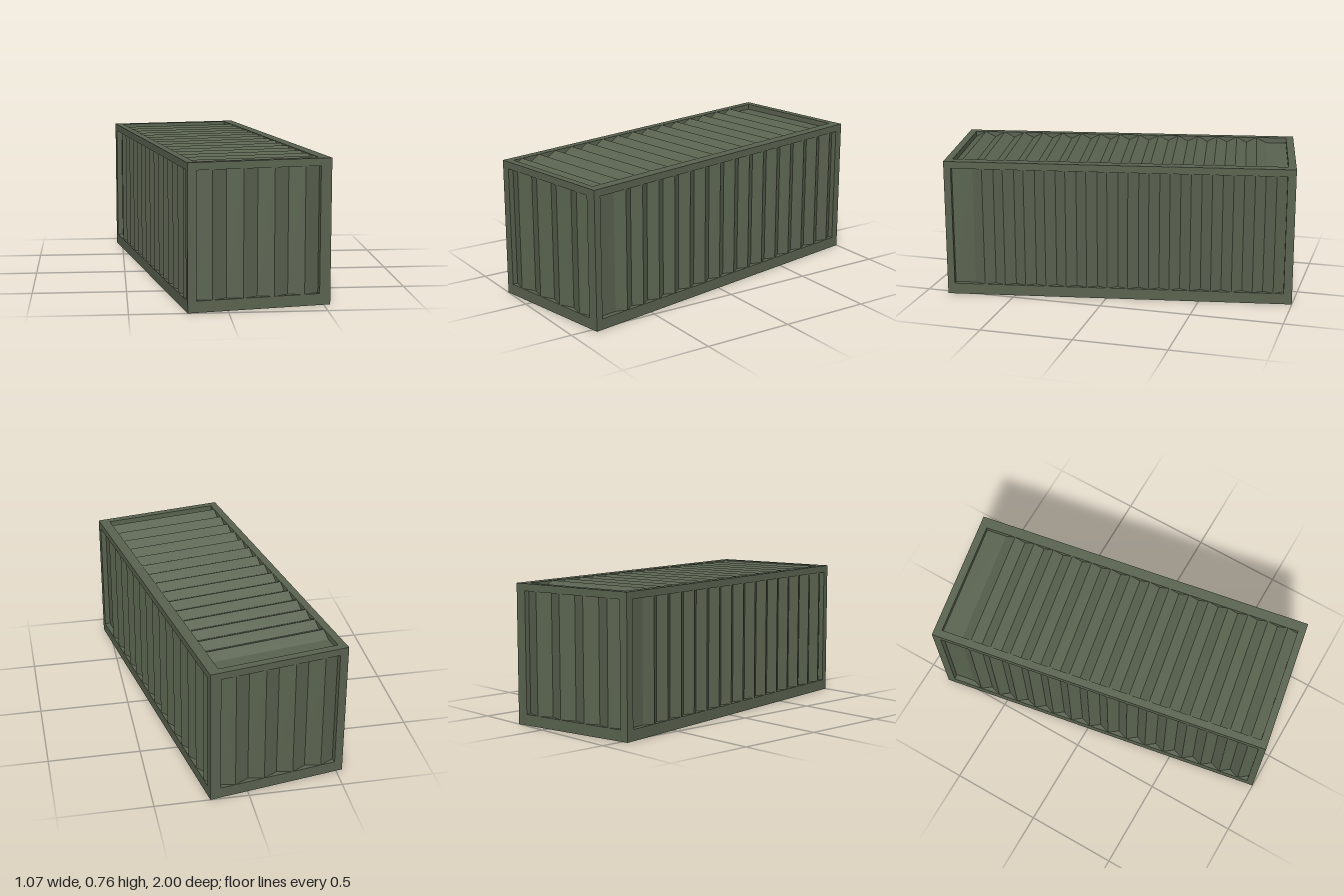
import * as THREE from 'three';

const L = 1.898, W = 0.751, H = 0.757; // length, width, height
const DEPTH = 0.03;                    // panel recess and rib height
const paint = new THREE.MeshStandardMaterial({ color: 0x59624f, flatShading: true, side: THREE.DoubleSide });

// Flat-shaded mesh from quads given as corner arrays, counter-clockwise from outside
function quadMesh(name, quads) {
  const pos = [];
  for (const [a, b, c, d] of quads) pos.push(...a, ...b, ...c, ...a, ...c, ...d);
  const geo = new THREE.BufferGeometry();
  geo.setAttribute('position', new THREE.Float32BufferAttribute(pos, 3));
  geo.computeVertexNormals();
  const mesh = new THREE.Mesh(geo, paint);
  mesh.name = name;
  return mesh;
}

const rect = (l, r, b, t, z) => [[l, b, z], [r, b, z], [r, t, z], [l, t, z]];

// Border of a wall: flat rails around an opening, plus the inward walls of the recess
function frame(name, w, h, o) {
  const outer = rect(-w / 2, w / 2, -h / 2, h / 2, 0);
  const inner = rect(o.l, o.r, o.b, o.t, 0);
  const deep = rect(o.l, o.r, o.b, o.t, -DEPTH);
  const quads = [];
  for (let i = 0; i < 4; i++) {
    const j = (i + 1) % 4;
    quads.push([outer[i], outer[j], inner[j], inner[i]], [inner[i], inner[j], deep[j], deep[i]]);
  }
  return quadMesh(name, quads);
}

// Folded sheet: an optional flat start, then triangular ribs across the opening
function panel(name, o, ribs, flatStart) {
  const step = (o.r - o.l) / (2 * ribs + (flatStart ? 2 : 0) || 1);
  const profile = [[o.l, -DEPTH]];
  let u = o.l;
  if (flatStart) profile.push([u += 2 * step, -DEPTH]);
  for (let i = 0; i < ribs; i++) profile.push([u += step, 0], [u += step, -DEPTH]);
  if (!ribs) profile.push([o.r, -DEPTH]);
  const quads = [];
  for (let i = 0; i + 1 < profile.length; i++) {
    const [u0, z0] = profile[i], [u1, z1] = profile[i + 1];
    quads.push([[u0, o.b, z0], [u1, o.b, z1], [u1, o.t, z1], [u0, o.t, z0]]);
  }
  return quadMesh(name, quads);
}

// One wall of the box; margins are [left, right, bottom, top] in its own u, v directions
function wall({ name, u, v, w, h, dist, margins: [ml, mr, mb, mt], ribs, flatStart }) {
  const o = { l: -w / 2 + ml, r: w / 2 - mr, b: -h / 2 + mb, t: h / 2 - mt };
  const g = new THREE.Group();
  g.name = name;
  g.add(frame(name + 'Frame', w, h, o), panel(name + 'Panel', o, ribs, flatStart));
  const U = new THREE.Vector3(...u), V = new THREE.Vector3(...v), N = U.clone().cross(V);
  g.quaternion.setFromRotationMatrix(new THREE.Matrix4().makeBasis(U, V, N));
  g.position.copy(N).multiplyScalar(dist);
  g.position.y += H / 2;
  return g;
}

export function createModel() {
  const container = new THREE.Group();
  container.name = 'container';
  const up = [0, 1, 0];
  const walls = [
    { name: 'frontEnd', u: [1, 0, 0], v: up, w: W, h: H, dist: L / 2, margins: [0.046, 0.058, 0.06, 0.039], ribs: 4 },
    { name: 'backEnd', u: [-1, 0, 0], v: up, w: W, h: H, dist: L / 2, margins: [0.058, 0.046, 0.06, 0.039], ribs: 4 },
    { name: 'leftSide', u: [0, 0, -1], v: up, w: L, h: H, dist: W / 2, margins: [0.039, 0.046, 0.06, 0.039], ribs: 15, flatStart: true },
    { name: 'rightSide', u: [0, 0, 1], v: up, w: L, h: H, dist: W / 2, margins: [0.046, 0.039, 0.06, 0.039], ribs: 15, flatStart: true },
    { name: 'roof', u: [0, 0, 1], v: [1, 0, 0], w: L, h: W, dist: H / 2, margins: [0.042, 0.04, 0.042, 0.058], ribs: 15, flatStart: true },
    { name: 'floor', u: [1, 0, 0], v: [0, 0, 1], w: W, h: L, dist: H / 2, margins: [0.045, 0.045, 0.045, 0.045], ribs: 0 },
  ];
  for (const spec of walls) container.add(wall(spec));

  // The container stands slightly turned
  container.rotation.y = THREE.MathUtils.degToRad(10);
  const model = new THREE.Group();
  model.name = 'cargoContainer';
  model.add(container);
  return model;
}
